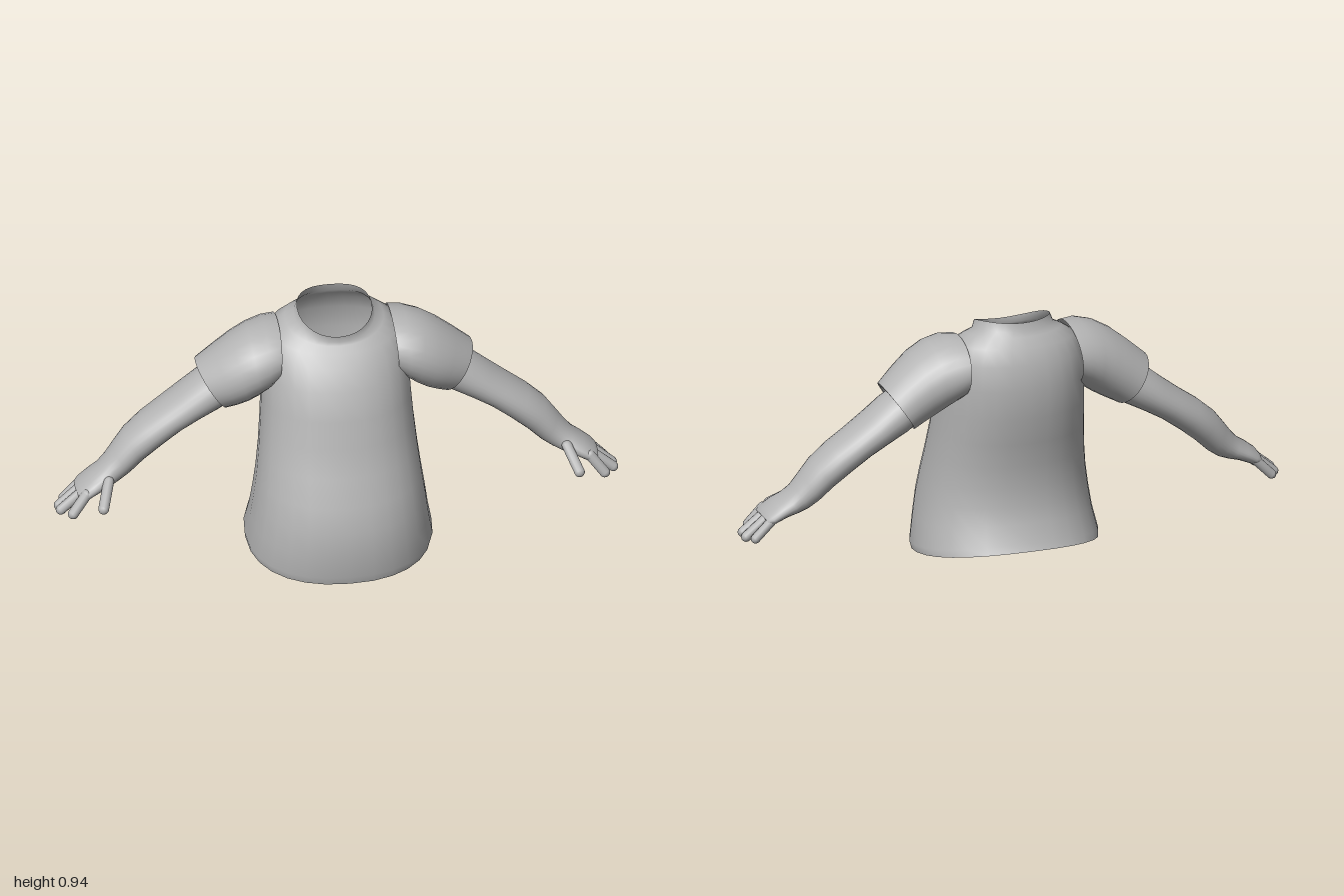
import * as THREE from 'three';

const SEG = 28;

// Smooth skin over a list of rings; caps are separate flat fans.
function loft(rings, { flip = false, capStart = false, capEnd = false } = {}) {
  const pos = [], idx = [];
  const tri = (a, b, c) => (flip ? idx.push(a, c, b) : idx.push(a, b, c));
  rings.forEach(r => r.forEach(p => pos.push(...p)));
  for (let i = 0; i < rings.length - 1; i++) {
    for (let j = 0; j < SEG; j++) {
      const k = (j + 1) % SEG;
      const a = i * SEG + j, b = i * SEG + k, c = a + SEG, d = b + SEG;
      tri(a, b, c);
      tri(b, d, c);
    }
  }
  const cap = (ring, reverse) => {
    const base = pos.length / 3;
    const mid = [0, 1, 2].map(n => ring.reduce((s, p) => s + p[n], 0) / SEG);
    ring.forEach(p => pos.push(...p));
    pos.push(...mid);
    for (let j = 0; j < SEG; j++) {
      const a = base + j, b = base + (j + 1) % SEG;
      if (reverse) tri(base + SEG, b, a); else tri(base + SEG, a, b);
    }
  };
  if (capStart) cap(rings[0], true);
  if (capEnd) cap(rings[rings.length - 1], false);
  const g = new THREE.BufferGeometry();
  g.setAttribute('position', new THREE.Float32BufferAttribute(pos, 3));
  g.setIndex(idx);
  g.computeVertexNormals();
  return g;
}

const around = fn => Array.from({ length: SEG }, (_, j) => fn(j / SEG * Math.PI * 2));

// Body ring: front height and depth, back height and depth, half width, lift of the sides
function bodyRing([yF, zF, yB, zB, w, lift = 0]) {
  const round = v => Math.sign(v) * Math.abs(v) ** 0.9;
  return around(a => {
    const c = round(Math.cos(a)), s = round(Math.sin(a)), t = (c + 1) / 2;
    return [w * s, yB + (yF - yB) * t + lift * s * s, zB + (zF - zB) * t];
  });
}

// Limb ring: upper point, lower point, front and back depth
function limbRing([xT, yT, xB, yB, zF, zB], side) {
  return around(a => {
    const t = (Math.cos(a) + 1) / 2;
    return [side * (xB + (xT - xB) * t), yB + (yT - yB) * t,
      (zF + zB) / 2 + (zF - zB) / 2 * Math.sin(a)];
  });
}

const BODY = [
  [0.00, 0.290, 0.11, -0.305, 0.328, -0.012],
  [0.03, 0.298, 0.135, -0.29, 0.332, -0.015],
  [0.12, 0.307, 0.20, -0.262, 0.316, -0.01],
  [0.21, 0.300, 0.26, -0.247, 0.304],
  [0.30, 0.277, 0.33, -0.243, 0.292],
  [0.40, 0.240, 0.41, -0.247, 0.281],
  [0.50, 0.207, 0.50, -0.264, 0.272],
  [0.60, 0.185, 0.60, -0.284, 0.265],
  [0.70, 0.150, 0.71, -0.292, 0.26],
  [0.77, 0.105, 0.80, -0.277, 0.25],
  [0.81, 0.070, 0.855, -0.25, 0.225, 0.012],
  [0.832, 0.046, 0.888, -0.226, 0.175, 0.018],
  [0.843, 0.038, 0.905, -0.214, 0.143, 0.018],
  [0.866, 0.040, 0.935, -0.206, 0.132, 0.02],
];

const SLEEVE = [
  [0.20, 0.872, 0.215, 0.66, 0.06, -0.25],
  [0.25, 0.874, 0.25, 0.635, 0.078, -0.246],
  [0.31, 0.858, 0.28, 0.612, 0.078, -0.236],
  [0.37, 0.824, 0.315, 0.59, 0.070, -0.228],
  [0.43, 0.776, 0.35, 0.572, 0.050, -0.222],
  [0.492, 0.722, 0.382, 0.556, 0.024, -0.217],
];
// Turned-in cuff edge
const CUFF = [SLEEVE[5], [0.482, 0.708, 0.390, 0.572, 0.008, -0.202], [0.44, 0.73, 0.35, 0.60, 0.008, -0.202]];

const ARM = [
  [0.43, 0.71, 0.35, 0.592, 0.0, -0.196],
  [0.49, 0.675, 0.405, 0.552, 0.002, -0.200],
  [0.555, 0.622, 0.475, 0.515, 0.002, -0.200],
  [0.62, 0.572, 0.545, 0.474, 0.002, -0.195],
  [0.69, 0.522, 0.615, 0.422, 0.004, -0.187],
  [0.75, 0.470, 0.678, 0.370, 0.000, -0.172],
  [0.79, 0.418, 0.728, 0.322, -0.004, -0.156],
  [0.818, 0.380, 0.767, 0.294, -0.006, -0.143],
  [0.845, 0.350, 0.802, 0.280, 0.008, -0.138],
  [0.88, 0.325, 0.842, 0.268, 0.024, -0.134],
  [0.915, 0.297, 0.882, 0.250, 0.030, -0.128],
  [0.928, 0.280, 0.906, 0.250, 0.018, -0.115],
];

// Base, tip, radius: four fingers then the thumb
const DIGITS = [
  [[0.895, 0.280, 0.010], [0.945, 0.215, 0.027], 0.019],
  [[0.900, 0.275, -0.028], [0.982, 0.207, -0.021], 0.018],
  [[0.900, 0.275, -0.066], [0.983, 0.203, -0.060], 0.018],
  [[0.895, 0.275, -0.103], [0.962, 0.207, -0.100], 0.017],
  [[0.815, 0.320, 0.000], [0.846, 0.262, 0.088], 0.019],
];

function digit([from, to, r], side, material) {
  const a = new THREE.Vector3(side * from[0], from[1], from[2]);
  const b = new THREE.Vector3(side * to[0], to[1], to[2]);
  const dir = b.clone().sub(a);
  const mesh = new THREE.Mesh(new THREE.CapsuleGeometry(r, dir.length(), 6, 12), material);
  mesh.position.copy(a).add(b).multiplyScalar(0.5);
  mesh.quaternion.setFromUnitVectors(new THREE.Vector3(0, 1, 0), dir.normalize());
  return mesh;
}

export function createModel() {
  const model = new THREE.Group();
  model.name = 'shirtedTorso';
  const grey = new THREE.MeshStandardMaterial({ color: 0xb4b4b4, side: THREE.DoubleSide });
  grey.name = 'plainGrey';
  const add = (name, geometry, parent = model) => {
    const m = new THREE.Mesh(geometry, grey);
    m.name = name;
    parent.add(m);
  };

  // Shirt body, closed at the hem and open at the neck
  add('shirtBody', loft(BODY.map(bodyRing), { capStart: true }));

  for (const side of [1, -1]) {
    const label = side > 0 ? 'left' : 'right';
    const limb = new THREE.Group();
    limb.name = label + 'Limb';
    const flip = side < 0;
    const rings = list => list.map(r => limbRing(r, side));
    add(label + 'Sleeve', loft(rings(SLEEVE), { flip }), limb);
    add(label + 'CuffEdge', loft(rings(CUFF), { flip }), limb);
    add(label + 'Arm', loft(rings(ARM), { flip, capEnd: true }), limb);
    DIGITS.forEach((d, i) => {
      const mesh = digit(d, side, grey);
      mesh.name = label + (i < 4 ? 'Finger' + (i + 1) : 'Thumb');
      limb.add(mesh);
    });
    model.add(limb);
  }
  return model;
}
